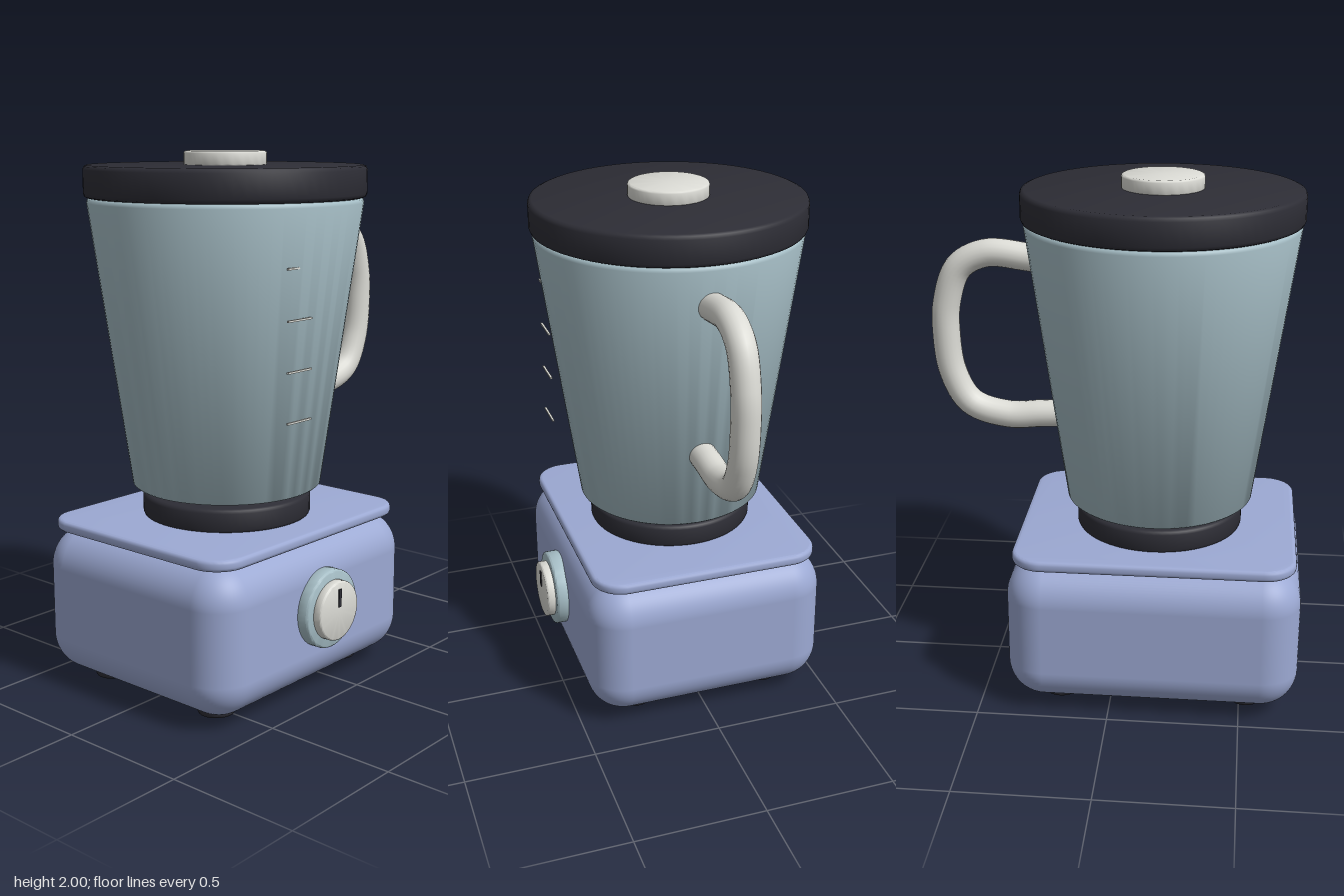
import * as THREE from 'three';
import { toCreasedNormals } from 'three/addons/utils/BufferGeometryUtils.js';
import { RoundedBoxGeometry } from 'three/addons/geometries/RoundedBoxGeometry.js';

// Axis of the base and jar
const CX = -0.163, CZ = -0.017;

const material = (name, color) => {
  const m = new THREE.MeshStandardMaterial({ color });
  m.name = name;
  return m;
};

// Turned solid given by [radius, y] pairs, bottom to top
function turned(profile, segments = 64) {
  const pts = profile.map(([r, y]) => new THREE.Vector2(r, y));
  return toCreasedNormals(new THREE.LatheGeometry(pts, segments), 0.9);
}

// Disc with softened rims, standing on y = 0
function disc(r, h, b, segments = 64) {
  const k = b * 0.3;
  return turned([
    [0, 0], [r - b, 0], [r - k, k], [r, b],
    [r, h - b], [r - k, h - k], [r - b, h], [0, h],
  ], segments);
}

// Rounded rectangular plate with bevelled rims, standing on y = 0
function plate(w, d, h, radius, bevel) {
  const x = w / 2 - bevel, y = d / 2 - bevel, r = radius - bevel;
  const s = new THREE.Shape();
  s.absarc(x - r, y - r, r, 0, Math.PI / 2);
  s.absarc(r - x, y - r, r, Math.PI / 2, Math.PI);
  s.absarc(r - x, r - y, r, Math.PI, Math.PI * 1.5);
  s.absarc(x - r, r - y, r, Math.PI * 1.5, Math.PI * 2);
  s.closePath();
  const g = new THREE.ExtrudeGeometry(s, {
    depth: h - 2 * bevel, bevelEnabled: true, bevelSize: bevel,
    bevelThickness: bevel, bevelSegments: 3, curveSegments: 10,
  });
  g.translate(0, 0, bevel);
  g.rotateX(-Math.PI / 2);
  return toCreasedNormals(g, 0.7);
}

export function createModel() {
  const model = new THREE.Group();
  model.name = 'blender';

  const blue = material('periwinkle housing', 0x9ca9d3);
  const teal = material('pale teal jar', 0xa6bec6);
  const dark = material('charcoal rubber', 0x2d2d35);
  const white = material('off white plastic', 0xdbdbd5);

  const add = (name, geometry, mat, x, y, z) => {
    const mesh = new THREE.Mesh(geometry, mat);
    mesh.name = name;
    mesh.position.set(x, y, z);
    model.add(mesh);
    return mesh;
  };

  // Motor base, deck and feet
  add('base', new RoundedBoxGeometry(1.115, 0.565, 0.95, 8, 0.145), blue, CX, 0.318, CZ);
  add('deck', plate(1.07, 0.9, 0.042, 0.12, 0.014), blue, CX, 0.595, CZ);
  for (const sx of [-1, 1]) {
    for (const sz of [-1, 1]) {
      add('foot', disc(0.07, 0.05, 0.01, 32), dark, CX + sx * 0.361, 0, CZ + sz * 0.27);
    }
  }

  // Jar seat and neck
  add('collar', disc(0.322, 0.09, 0.014), dark, CX, 0.632, CZ);
  add('neck', new THREE.CylinderGeometry(0.165, 0.165, 0.06, 48), teal, CX, 0.735, CZ);

  // Tapered jar, lid and cap
  add('jar', turned([
    [0, 0.75], [0.352, 0.75], [0.36, 0.757],
    [0.511, 1.815], [0.508, 1.826], [0.5, 1.832], [0, 1.832],
  ], 72), teal, CX, 0, CZ);
  add('lid', disc(0.522, 0.118, 0.016, 72), dark, CX, 1.832, CZ);
  add('cap', disc(0.153, 0.055, 0.008, 48), white, CX, 1.945, CZ);

  // Handle
  const path = new THREE.CatmullRomCurve3([
    [0.26, 1.67], [0.34, 1.68], [0.5, 1.692], [0.605, 1.635], [0.655, 1.5],
    [0.662, 1.38], [0.642, 1.22], [0.575, 1.1], [0.43, 1.053], [0.3, 1.06], [0.2, 1.065],
  ].map(([x, y]) => new THREE.Vector3(x, y, 0)));
  add('handle', new THREE.TubeGeometry(path, 64, 0.053, 20), white, 0, 0, CZ);

  // Measuring marks
  for (let i = 0; i < 4; i++) {
    add('measureMark', new THREE.BoxGeometry(0.13, 0.007, 0.008), white, -0.29, 1.07 + i * 0.18, 0.442);
  }

  // Control dial on the front
  const dialY = 0.352;
  add('dialRing', disc(0.148, 0.06, 0.008, 48), teal, CX, dialY, 0.443).rotation.x = Math.PI / 2;
  add('dialKnob', disc(0.112, 0.04, 0.006, 48), white, CX, dialY, 0.495).rotation.x = Math.PI / 2;
  add('dialPointer', new THREE.BoxGeometry(0.015, 0.068, 0.008), dark, CX, 0.402, 0.535);

  return model;
}
